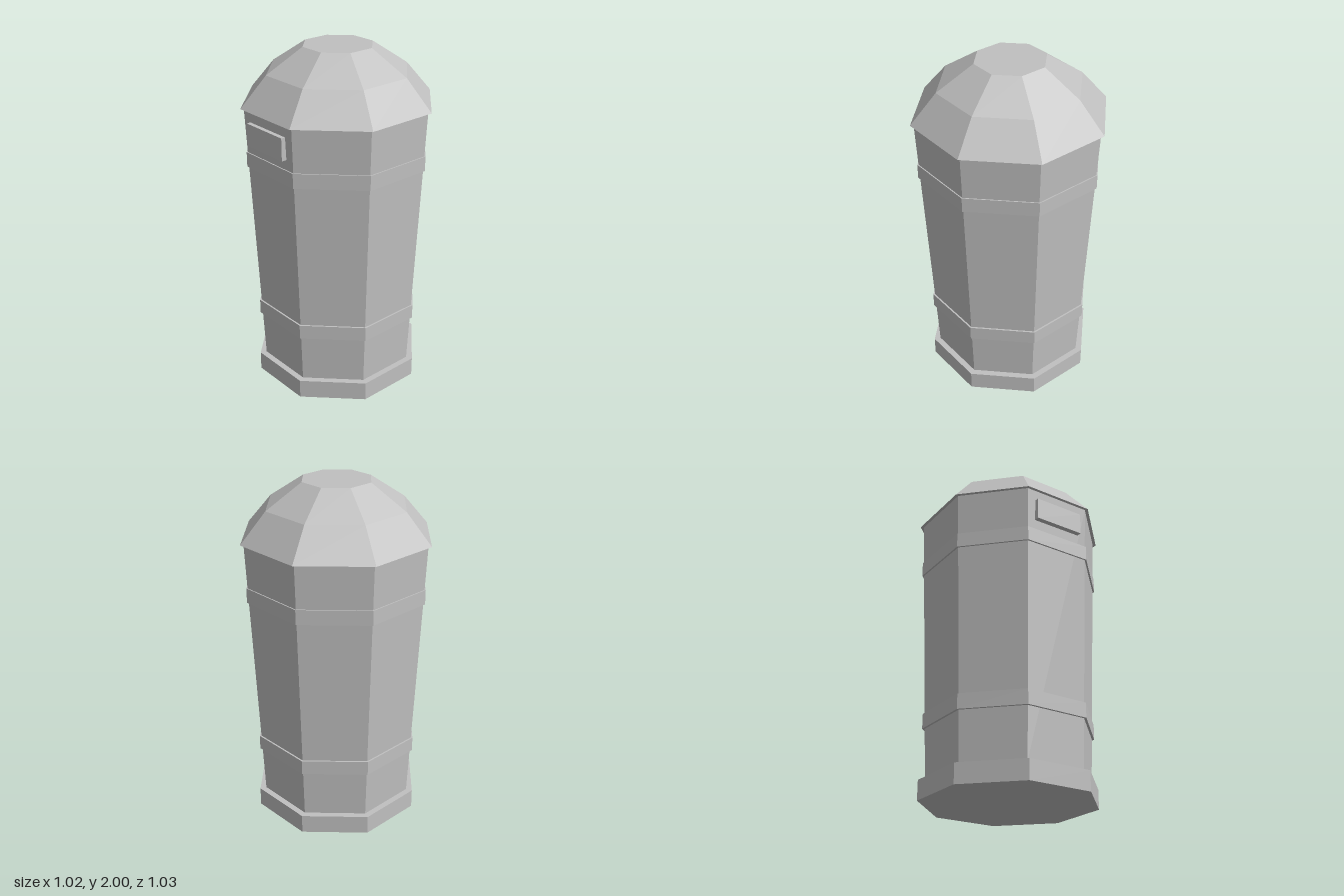
import * as THREE from 'three';

const SIDES = 8;
const grey = new THREE.MeshStandardMaterial({ color: 0xc0c0c0 });
grey.name = 'grey metal';

// Closed octagonal solid with a flat side facing front; radii are measured to the flats
function octagon(name, bottom, top, y0, y1) {
  const k = 1 / Math.cos(Math.PI / SIDES);
  const indexed = new THREE.CylinderGeometry(top * k, bottom * k, y1 - y0, SIDES, 1, false, Math.PI / SIDES);
  const geometry = indexed.toNonIndexed();
  geometry.computeVertexNormals(); // faceted sides
  const mesh = new THREE.Mesh(geometry, grey);
  mesh.name = name;
  mesh.position.set(0, (y0 + y1) / 2, -0.002);
  return mesh;
}

export function createModel() {
  const bin = new THREE.Group();
  bin.name = 'litterBin';

  // Foot and tapered body
  bin.add(octagon('base', 0.463, 0.463, 0, 0.113));
  bin.add(octagon('body', 0.428, 0.493, 0.113, 1.69));

  // Raised bands around the body
  bin.add(octagon('lowerBand', 0.453, 0.453, 0.402, 0.488));
  bin.add(octagon('upperBand', 0.489, 0.489, 1.355, 1.44));

  // Faceted domed lid in two tiers
  const lid = new THREE.Group();
  lid.name = 'lid';
  lid.add(octagon('lidSkirt', 0.511, 0.375, 1.69, 1.862));
  lid.add(octagon('lidCrown', 0.375, 0.185, 1.862, 2));
  bin.add(lid);

  // Plate on the front, just under the lid
  const plate = new THREE.Mesh(new THREE.BoxGeometry(0.3, 0.127, 0.05), grey);
  plate.name = 'frontPlate';
  plate.position.set(-0.002, 1.563, 0.488);
  bin.add(plate);

  return bin;
}
